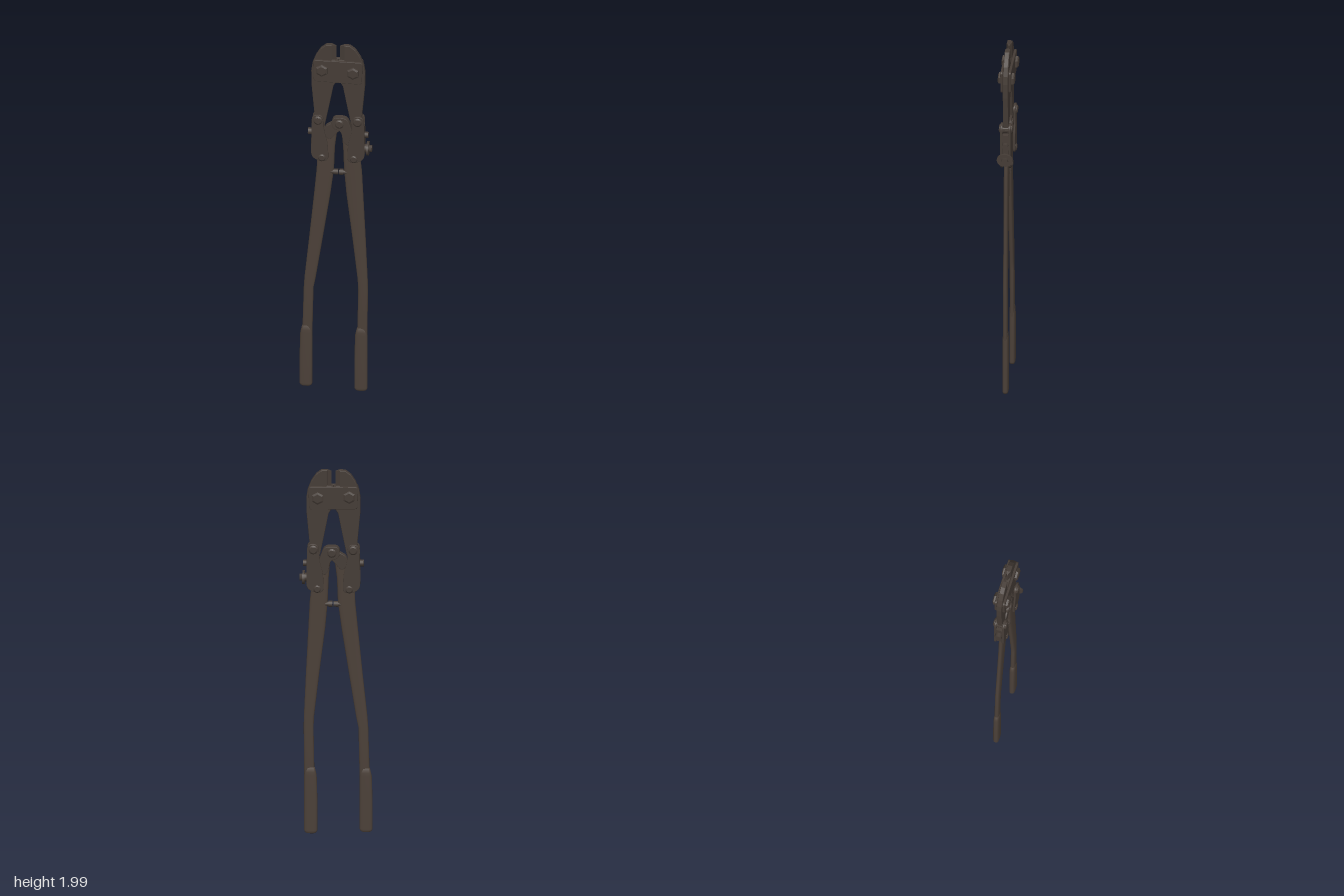
import * as THREE from 'three';

const steel = new THREE.MeshStandardMaterial({ color: 0x453c36 });
steel.name = 'dark steel';
const brown = new THREE.MeshStandardMaterial({ color: 0x4b4038 });
brown.name = 'brown handle';

const MID = 0.0125; // mirror line between the two jaws
const flip = (x) => 2 * MID - x;

function add(parent, name, geometry, material) {
  const mesh = new THREE.Mesh(geometry, material);
  mesh.name = name;
  parent.add(mesh);
  return mesh;
}

// Bevelled plate from an outline, lying between z0 and z1
function plate(shape, z0, z1, bevel = 0.003) {
  const g = new THREE.ExtrudeGeometry(shape, {
    depth: z1 - z0 - 2 * bevel, bevelEnabled: true, bevelThickness: bevel,
    bevelSize: bevel, bevelOffset: -bevel, bevelSegments: 2, curveSegments: 10,
  });
  return g.translate(0, 0, z0 + bevel);
}

// Outline that bulges round each corner by a radius
function rounded(points, r) {
  const s = new THREE.Shape();
  const v = points.map(([x, y]) => new THREE.Vector2(x, y));
  v.forEach((p, i) => {
    const a = v[(i + v.length - 1) % v.length], b = v[(i + 1) % v.length];
    const towards = (q) => p.clone().add(q.clone().sub(p).setLength(Math.min(r, p.distanceTo(q) * 0.48)));
    const start = towards(a), end = towards(b);
    if (i === 0) s.moveTo(start.x, start.y);
    else s.lineTo(start.x, start.y);
    s.quadraticCurveTo(p.x, p.y, end.x, end.y);
  });
  s.closePath();
  return s;
}

// Rounded bar through stations [y, xMin, xMax, halfDepth], closed at both ends
function bar(stations) {
  const N = 20, pos = [], idx = [];
  const soft = (c) => Math.sign(c) * Math.pow(Math.abs(c), 0.65);
  const first = stations[0], last = stations[stations.length - 1];
  const point = ([y, a, b]) => [y, (a + b) / 2, (a + b) / 2, 0];
  const rows = [point(first), ...stations, point(last)];
  for (const [y, a, b, h] of rows) {
    for (let i = 0; i < N; i++) {
      const t = (i / N) * Math.PI * 2;
      pos.push((a + b) / 2 + ((b - a) / 2) * soft(Math.cos(t)), y, h * soft(Math.sin(t)));
    }
  }
  for (let r = 0; r < rows.length - 1; r++) {
    for (let i = 0; i < N; i++) {
      const p = r * N + i, q = r * N + ((i + 1) % N);
      idx.push(p, p + N, q, q, p + N, q + N);
    }
  }
  const g = new THREE.BufferGeometry();
  g.setAttribute('position', new THREE.Float32BufferAttribute(pos, 3));
  g.setIndex(idx);
  g.computeVertexNormals();
  return g;
}

// Pin running through the tool with a chamfered head on both faces
function bolt(parent, name, x, y, r, half, sides) {
  const c = half - 0.005;
  const profile = [[0, -half], [r * 0.7, -half], [r, -c], [r, c], [r * 0.7, half], [0, half]];
  let g = new THREE.LatheGeometry(profile.map(([a, b]) => new THREE.Vector2(a, b)), sides);
  g = g.toNonIndexed();
  g.computeVertexNormals();
  g.rotateX(Math.PI / 2).translate(x, y, 0);
  add(parent, name, g, steel);
}

// Cylinder lying along x
function rod(parent, name, x0, x1, y, r, sides = 16, squash = 1) {
  const g = new THREE.CylinderGeometry(r, r, x1 - x0, sides);
  g.rotateZ(Math.PI / 2).scale(1, squash, 1).translate((x0 + x1) / 2, y, 0);
  return add(parent, name, g, steel);
}

const JAW = [[-0.018, 1.992], [-0.05, 1.99], [-0.078, 1.968], [-0.102, 1.93], [-0.12, 1.885], [-0.127, 1.84],
  [-0.126, 1.76], [-0.117, 1.66], [-0.106, 1.54], [-0.098, 1.49], [-0.07, 1.49], [-0.055, 1.535],
  [-0.035, 1.635], [-0.012, 1.755], [0.0, 1.775], [0.011, 1.78], [0.011, 1.905], [-0.018, 1.908]];
const LINK = [[-0.122, 1.59], [-0.062, 1.59], [-0.06, 1.5], [-0.04, 1.43], [-0.036, 1.325], [-0.09, 1.325],
  [-0.127, 1.35], [-0.125, 1.46]];

function createModel() {
  const model = new THREE.Group();
  model.name = 'boltCutter';
  model.position.z = -0.0025;

  // Jaws with wedge shaped cutting edges, and the toggle links below them
  for (const side of ['right', 'left']) {
    const fx = side === 'right' ? (x) => x : flip;
    const map = (pts) => {
      const out = pts.map(([x, y]) => [fx(x), y]);
      return side === 'right' ? out : out.reverse();
    };
    const jawShape = new THREE.Shape(map(JAW).map(([x, y]) => new THREE.Vector2(x, y)));
    add(model, side + 'Jaw', plate(jawShape, -0.0135, 0.0135, 0.004), steel);

    const wedge = new THREE.Shape([[-0.022, -0.0125], [0.003, -0.001], [0.003, 0.001], [-0.022, 0.0125]]
      .map(([x, z]) => new THREE.Vector2(fx(x), z)));
    const edge = new THREE.ExtrudeGeometry(wedge, { depth: 0.085, bevelEnabled: false });
    edge.rotateX(-Math.PI / 2).translate(0, 1.9, 0);
    const p = edge.attributes.position;
    for (let i = 0; i < p.count; i++) {
      if (p.getY(i) > 1.95 && Math.abs(p.getX(i) - MID) > 0.02) p.setY(i, 1.991);
    }
    edge.computeVertexNormals();
    add(model, side + 'CuttingEdge', edge, steel);

    const linkShape = rounded(map(LINK), 0.03);
    add(model, side + 'FrontLink', plate(linkShape, 0.015, 0.0275), steel);
    add(model, side + 'BackLink', plate(linkShape, -0.0275, -0.015), steel);
    const spine = new THREE.BoxGeometry(0.022, 0.16, 0.042);
    spine.translate(fx(-0.112), 1.455, 0);
    add(model, side + 'LinkSpine', spine, steel);
    bolt(model, side + 'UpperLinkPin', fx(-0.09), 1.56, 0.024, 0.036, 16);
    bolt(model, side + 'LowerLinkPin', fx(-0.07), 1.345, 0.02, 0.034, 16);
  }

  // Head plates joining the jaws, held by hex bolts
  const head = rounded([[-0.116, 1.907], [-0.112, 1.785], [0.136, 1.778], [0.141, 1.905]], 0.018);
  add(model, 'frontHeadPlate', plate(head, 0.0145, 0.0275), steel);
  add(model, 'backHeadPlate', plate(head, -0.0275, -0.0145), steel);
  bolt(model, 'rightHeadBolt', -0.07, 1.853, 0.034, 0.0435, 6);
  bolt(model, 'leftHeadBolt', 0.092, 1.845, 0.034, 0.0435, 6);

  // Handles
  add(model, 'rightHandle', bar([[0.3, -0.175, -0.122, 0.012], [0.58, -0.167, -0.116, 0.012],
    [0.64, -0.163, -0.104, 0.012], [0.87, -0.139, -0.068, 0.012], [1.13, -0.113, -0.028, 0.012],
    [1.27, -0.1, -0.01, 0.013], [1.4, -0.095, -0.005, 0.013], [1.48, -0.07, 0.005, 0.013],
    [1.52, -0.05, 0.012, 0.013]]), brown);
  add(model, 'leftHandle', bar([[0.3, 0.11, 0.163, 0.012], [0.58, 0.115, 0.166, 0.012],
    [0.64, 0.112, 0.165, 0.012], [0.87, 0.086, 0.155, 0.012], [1.13, 0.054, 0.142, 0.012],
    [1.27, 0.042, 0.135, 0.013], [1.4, 0.037, 0.12, 0.013], [1.48, 0.03, 0.095, 0.013],
    [1.52, 0.02, 0.07, 0.013]]), brown);

  // Grips with rounded ends
  const grip = (name, a, b, y) => add(model, name, bar([[y, a + 0.012, b - 0.012, 0.011],
    [y + 0.005, a + 0.004, b - 0.004, 0.014], [y + 0.016, a, b, 0.0155], [0.18, a, b, 0.0155],
    [0.318, a + 0.004, b, 0.0155], [0.335, a + 0.008, b - 0.003, 0.014], [0.36, a + 0.014, b - 0.008, 0.012]]), brown);
  grip('rightGrip', -0.189, -0.122, 0.012);
  grip('leftGrip', 0.095, 0.164, 0.0);

  // Centre hinge: an ear from each handle meeting on one pin
  const leftEar = rounded([[-0.02, 1.575], [0.06, 1.575], [0.1, 1.46], [0.08, 1.41], [0.038, 1.43], [0.03, 1.5], [-0.02, 1.51]], 0.03);
  add(model, 'leftHingeEar', plate(leftEar, -0.019, 0.019), steel);
  const rightEar = rounded([[-0.058, 1.52], [0.02, 1.565], [0.045, 1.52], [0.0, 1.48], [-0.03, 1.44], [-0.06, 1.47]], 0.02);
  add(model, 'rightHingeEar', plate(rightEar, -0.0155, 0.0155), steel);
  bolt(model, 'hingePin', 0.02, 1.54, 0.024, 0.027, 16);

  // Stop bumpers between the handles
  rod(model, 'rightStop', -0.03, -0.008, 1.256, 0.012);
  rod(model, 'rightStopHead', -0.012, 0.012, 1.256, 0.015);
  rod(model, 'leftStop', 0.03, 0.055, 1.256, 0.012);
  rod(model, 'leftStopHead', 0.018, 0.038, 1.256, 0.016);

  // Adjusting screws on the outer edges
  rod(model, 'rightScrewHead', -0.144, -0.118, 1.483, 0.018);
  rod(model, 'leftScrewHead', 0.14, 0.168, 1.478, 0.016);
  rod(model, 'adjusterShaft', 0.13, 0.165, 1.4, 0.022);
  rod(model, 'adjusterWasher', 0.16, 0.172, 1.4, 0.042, 20, 0.85);
  rod(model, 'adjusterNut', 0.17, 0.187, 1.4, 0.019, 6);

  const group = new THREE.Group();
  group.name = 'model';
  group.add(model);
  return group;
}

export { createModel };
